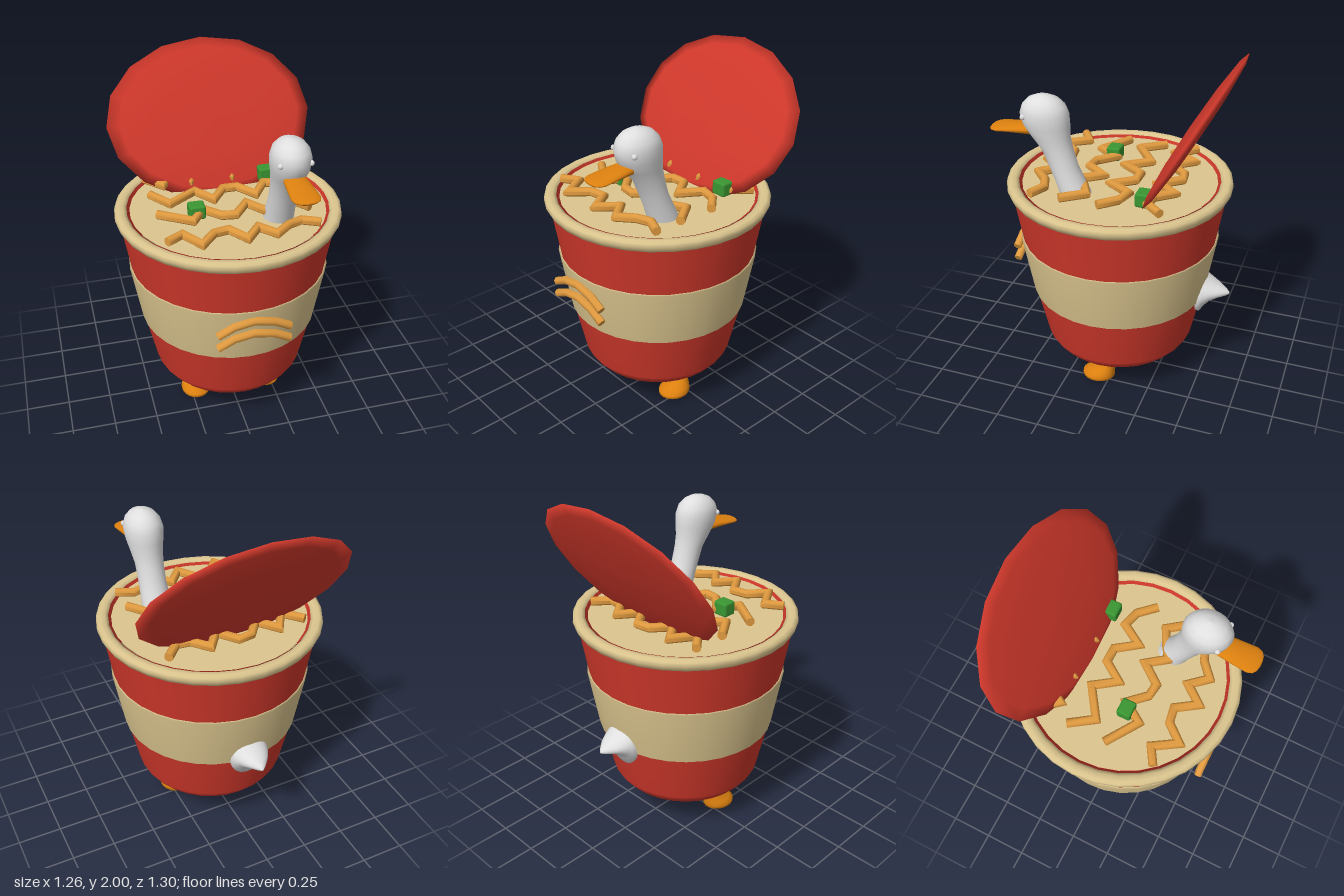
import * as THREE from 'three';
import { toCreasedNormals } from 'three/addons/utils/BufferGeometryUtils.js';
import { RoundedBoxGeometry } from 'three/addons/geometries/RoundedBoxGeometry.js';

const mat = (name, color, side = THREE.FrontSide) => {
  const m = new THREE.MeshStandardMaterial({ color, side });
  m.name = name;
  return m;
};

// Skin a list of rings (arrays of Vector3, counter-clockwise about the travel direction), with capped ends
function loft(rings) {
  const n = rings[0].length, last = rings.length - 1, pos = [], idx = [];
  const add = p => pos.push(p.x, p.y, p.z) / 3 - 1;
  rings.forEach(r => r.forEach(add));
  for (let i = 0; i < last; i++) for (let j = 0; j < n; j++) {
    const a = i * n + j, b = i * n + (j + 1) % n;
    idx.push(a, b, a + n, b, b + n, a + n);
  }
  for (const end of [0, last]) {
    const c = add(rings[end].reduce((s, p) => s.add(p), new THREE.Vector3()).divideScalar(n));
    const start = c + 1;
    rings[end].forEach(add);
    for (let j = 0; j < n; j++) {
      const a = start + j, b = start + (j + 1) % n;
      end ? idx.push(c, a, b) : idx.push(c, b, a);
    }
  }
  const g = new THREE.BufferGeometry();
  g.setAttribute('position', new THREE.Float32BufferAttribute(pos, 3));
  g.setIndex(idx);
  g.computeVertexNormals();
  return g;
}

const ring = (n, center, u, v) => Array.from({ length: n }, (_, j) => {
  const a = (j + 0.5) / n * Math.PI * 2;
  return center.clone().addScaledVector(u, Math.cos(a)).addScaledVector(v, Math.sin(a));
});
const V = (x, y, z) => new THREE.Vector3(x, y, z);

// Upright loft: sections [y, centre z, half width x, half depth z]
const loftY = (s, n = 24) => loft(s.map(([y, z, rx, rz]) => ring(n, V(0, y, z), V(0, 0, rz), V(rx, 0, 0))));
// Lengthwise loft: sections [z, centre y, half width x, half height y]
const loftZ = (s, n = 20) => loft(s.map(([z, y, rx, ry]) => ring(n, V(0, y, z), V(rx, 0, 0), V(0, ry, 0))));

// Mitred noodle along flat points in the XY plane
function noodleGeometry(points, half) {
  const p = points.map(([x, y]) => V(x, y, 0));
  const normal = i => {
    const t = p[i + 1].clone().sub(p[i]).normalize();
    return V(-t.y, t.x, 0);
  };
  const rings = p.map((c, i) => {
    const a = normal(Math.max(i - 1, 0)), b = normal(Math.min(i, p.length - 2));
    const m = a.clone().add(b).normalize();
    m.multiplyScalar(half / Math.max(m.dot(a), 0.6));
    return ring(8, c, m, V(0, 0, half));
  });
  return toCreasedNormals(loft(rings), 0.9);
}

export function createModel() {
  const red = mat('red', 0xd0382b, THREE.DoubleSide);
  const cream = mat('cream', 0xdcc68f, THREE.DoubleSide);
  const noodle = mat('noodle', 0xe09a3f);
  const orange = mat('orange', 0xdc800f);
  const green = mat('green', 0x3a9632);
  const white = mat('white', 0xdfdfdf);

  const model = new THREE.Group();
  const add = (name, geometry, material, parent = model) => {
    const m = new THREE.Mesh(geometry, material);
    m.name = name;
    parent.add(m);
    return m;
  };

  // Cup: stacked lathes, one per colour band
  const cup = new THREE.Group();
  cup.name = 'cup';
  cup.position.z = 0.01;
  model.add(cup);
  const lathe = (name, pts, material) =>
    add(name, new THREE.LatheGeometry(pts.map(([r, y]) => new THREE.Vector2(r, y)), 32), material, cup);
  lathe('cupBottom', [[0, 0.215], [0.39, 0.215]], red);
  lathe('cupBase', [[0.39, 0.215], [0.42, 0.25], [0.437, 0.28], [0.502, 0.58]], red);
  lathe('cupBand', [[0.498, 0.575], [0.51, 0.58], [0.568, 0.918], [0.555, 0.92]], cream);
  lathe('cupTop', [[0.556, 0.918], [0.606, 1.22]], red);
  lathe('cupRim', [[0.56, 1.225], [0.6, 1.208], [0.618, 1.212], [0.631, 1.24], [0.627, 1.262],
    [0.61, 1.273], [0.58, 1.27], [0.56, 1.255], [0.56, 1.225]], cream);
  lathe('cupInside', [[0.535, 1.2], [0.562, 1.262]], red);
  lathe('soup', [[0.546, 1.25], [0, 1.25]], cream);

  // Noodles lying on the soup, as [x, z] paths
  const paths = [
    [[-0.41, -0.33], [-0.32, -0.225], [-0.24, -0.35], [-0.155, -0.24], [-0.075, -0.34], [0, -0.35],
      [0.085, -0.24], [0.165, -0.35], [0.24, -0.26], [0.32, -0.25], [0.4, -0.34]],
    [[-0.41, -0.14], [-0.32, -0.01], [-0.16, -0.12], [-0.075, 0], [0, -0.11], [0.085, -0.11],
      [0.165, 0], [0.24, -0.12], [0.33, -0.095], [0.415, -0.005]],
    [[-0.41, 0.085], [-0.235, 0.2], [-0.16, 0.09], [-0.075, 0.18], [0, 0.19], [0.085, 0.08],
      [0.16, 0.18], [0.24, 0.13], [0.32, 0.09], [0.41, 0.21]],
    [[-0.41, 0.37], [-0.32, 0.315], [-0.24, 0.44], [-0.16, 0.345], [-0.075, 0.33], [0, 0.44],
      [0.08, 0.34], [0.16, 0.43], [0.24, 0.36], [0.32, 0.33], [0.415, 0.375]],
  ];
  for (const path of paths) {
    const m = add('soupNoodle', noodleGeometry(path, 0.025), noodle);
    m.rotation.x = Math.PI / 2;
    m.position.y = 1.295;
  }

  // Wavy noodles on the front of the cup
  for (const y of [0.72, 0.8]) {
    const arch = [[-0.2, 0], [-0.11, 0.045], [0, 0.065], [0.11, 0.045], [0.2, 0]];
    add('frontNoodle', noodleGeometry(arch, 0.023), noodle).position.set(0, y, 0.578);
  }

  // Diced vegetables
  for (const [x, z] of [[-0.2, 0.11], [0.282, -0.22]])
    add('vegetable', new RoundedBoxGeometry(0.09, 0.08, 0.08, 2, 0.012), green).position.set(x, 1.305, z);

  // Lid: a shallow oval lens leaning back
  const lidProfile = [[0, -0.038], [0.5, -0.033], [0.88, -0.018], [1, 0], [0.88, 0.018], [0.5, 0.033], [0, 0.038]];
  const lid = add('lid', new THREE.LatheGeometry(lidProfile.map(([r, y]) => new THREE.Vector2(r, y)), 16), red);
  lid.scale.set(0.595, 1, 0.46);
  lid.rotation.x = Math.atan2(0.4, 0.225);
  lid.position.set(0, 1.6, -0.413);

  // Bird: head and neck in one skin
  const bird = new THREE.Group();
  bird.name = 'bird';
  bird.position.x = 0.24;
  model.add(bird);
  add('headAndNeck', loftY([
    [1.22, 0.17, 0.086, 0.09], [1.32, 0.21, 0.081, 0.081], [1.4, 0.245, 0.077, 0.078], [1.5, 0.28, 0.079, 0.086],
    [1.57, 0.315, 0.09, 0.107], [1.63, 0.336, 0.102, 0.129], [1.69, 0.345, 0.107, 0.134], [1.735, 0.346, 0.095, 0.118],
    [1.768, 0.347, 0.068, 0.085], [1.785, 0.347, 0.036, 0.046], [1.791, 0.347, 0.002, 0.002],
  ]), white, bird);
  add('beak', loftZ([
    [0.42, 1.594, 0.06, 0.03], [0.48, 1.592, 0.067, 0.027], [0.55, 1.587, 0.073, 0.02], [0.6, 1.583, 0.077, 0.017],
    [0.63, 1.581, 0.066, 0.014], [0.645, 1.58, 0.045, 0.01], [0.651, 1.58, 0.015, 0.003],
  ]), orange, bird);
  for (const s of [-1, 1]) {
    const eye = add('eye', new THREE.SphereGeometry(0.015, 12, 8), white, bird);
    eye.position.set(s * 0.081, 1.683, 0.433);
  }

  // Tail poking out of the back
  add('tail', loftZ([
    [-0.652, 0.618, 0.006, 0.006], [-0.635, 0.62, 0.025, 0.018], [-0.59, 0.624, 0.065, 0.036],
    [-0.55, 0.623, 0.09, 0.06], [-0.515, 0.614, 0.107, 0.093], [-0.49, 0.605, 0.115, 0.13], [-0.46, 0.605, 0.11, 0.125],
  ]), white);

  // Legs with feet
  for (const s of [-1, 1]) {
    add('leg', loftY([
      [0, 0.07, 0.07, 0.08], [0.012, 0.07, 0.085, 0.097], [0.03, 0.069, 0.087, 0.098], [0.05, 0.055, 0.074, 0.083],
      [0.08, 0.024, 0.045, 0.05], [0.115, 0.006, 0.031, 0.033], [0.15, 0.002, 0.027, 0.028], [0.2, 0.002, 0.027, 0.027],
    ], 20), orange).position.x = s * 0.222;
  }
  return model;
}
